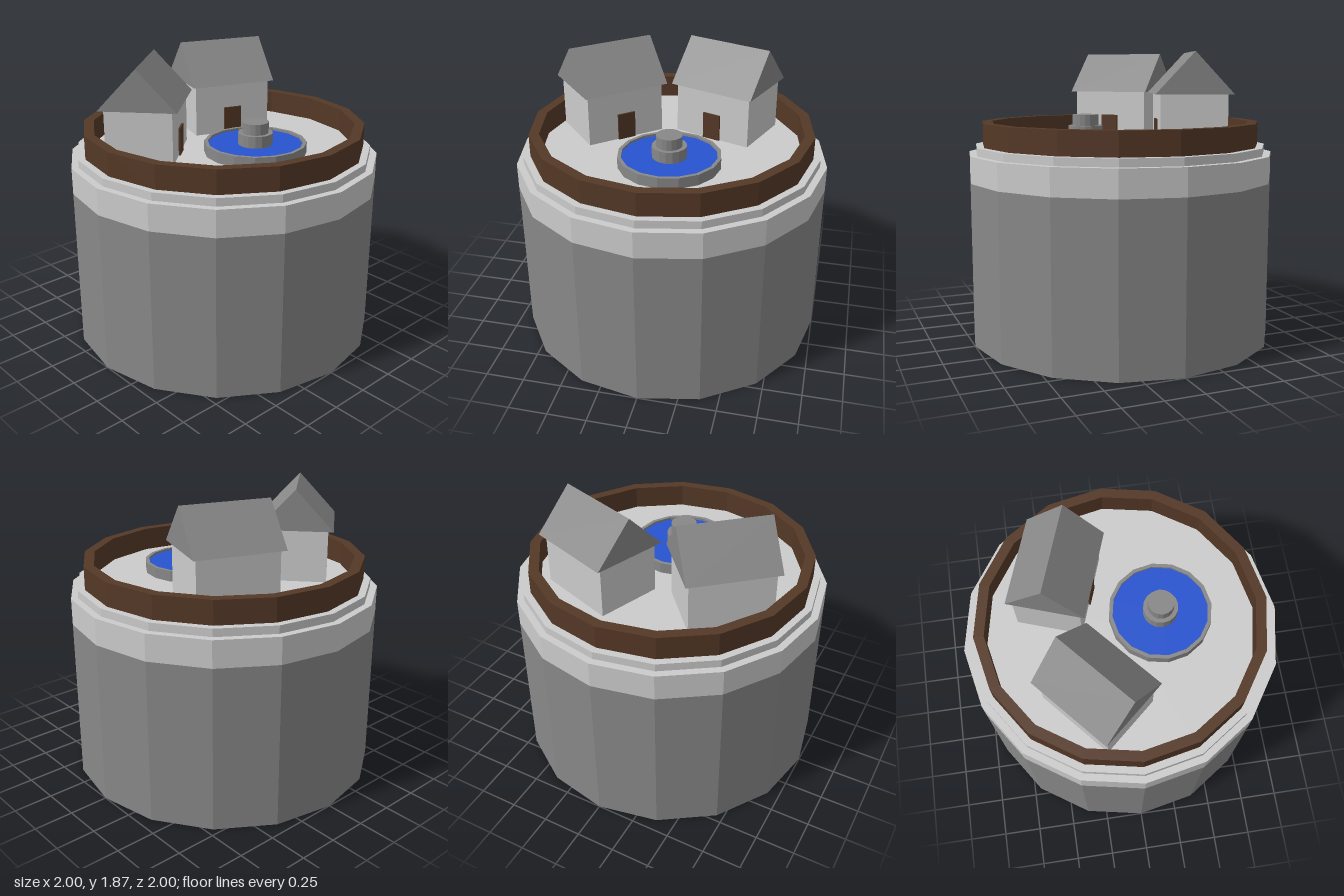
import * as THREE from 'three';

const SIDES = 16;
const FLOOR = 1.27;
const material = (color) => new THREE.MeshStandardMaterial({ color, flatShading: true });

export function createModel() {
  const model = new THREE.Group();
  const light = material(0xcccccc);
  const dark = material(0x888888);
  const wood = material(0x543826);
  const blue = material(0x2653cf);

  function add(parent, name, geometry, mat, x = 0, y = 0, z = 0) {
    const mesh = new THREE.Mesh(geometry, mat);
    mesh.name = name;
    mesh.position.set(x, y, z);
    parent.add(mesh);
    return mesh;
  }

  // Solid drum between two heights
  function drum(parent, name, radius, y0, y1, mat) {
    const geometry = new THREE.CylinderGeometry(radius, radius, y1 - y0, SIDES);
    return add(parent, name, geometry, mat, 0, (y0 + y1) / 2, 0);
  }

  // Square-section ring between two radii and two heights
  function ring(parent, name, outer, inner, y0, y1, mat) {
    const profile = [[outer, y0], [outer, y1], [inner, y1], [inner, y0], [outer, y0]]
      .map(([r, y]) => new THREE.Vector2(r, y));
    return add(parent, name, new THREE.LatheGeometry(profile, SIDES), mat);
  }

  // Tower platform
  drum(model, 'towerBody', 1, 0, 1.05, dark);
  drum(model, 'towerBand', 1, 1.05, 1.22, light);
  drum(model, 'towerFloor', 0.955, 1.22, FLOOR, light);
  ring(model, 'parapet', 0.91, 0.845, FLOOR, 1.42, wood);

  // Fountain
  const fountain = new THREE.Group();
  fountain.name = 'fountain';
  fountain.position.set(0.04, 0, 0.255);
  model.add(fountain);
  ring(fountain, 'basinRim', 0.325, 0.302, FLOOR, 1.34, dark);
  drum(fountain, 'water', 0.303, FLOOR, 1.325, blue);
  drum(fountain, 'pedestal', 0.11, 1.3, 1.4, dark);
  drum(fountain, 'spout', 0.083, 1.4, 1.47, dark);

  // House: walls, overhanging gable roof with its ridge along local x, and a door on local +z
  function house(name, x, z, turn) {
    const group = new THREE.Group();
    group.name = name;
    group.position.set(x, FLOOR, z);
    group.rotation.y = turn;
    model.add(group);

    const eave = 0.335, rise = 0.26, halfSpan = 0.2425, length = 0.575;
    add(group, 'walls', new THREE.BoxGeometry(0.526, eave, 0.416), light, 0, eave / 2, 0);

    const gable = new THREE.Shape();
    gable.moveTo(-halfSpan, 0);
    gable.lineTo(halfSpan, 0);
    gable.lineTo(0, rise);
    gable.closePath();
    const roof = new THREE.ExtrudeGeometry(gable, { depth: length, bevelEnabled: false });
    roof.translate(0, 0, -length / 2).rotateY(Math.PI / 2);
    add(group, 'roof', roof, dark, 0, eave, 0);

    add(group, 'door', new THREE.BoxGeometry(0.12, 0.175, 0.03), wood, 0, 0.0875, 0.205);
  }
  house('leftHouse', 0.3, -0.357, -0.341);
  house('rightHouse', -0.457, -0.212, 0.714);

  return model;
}
